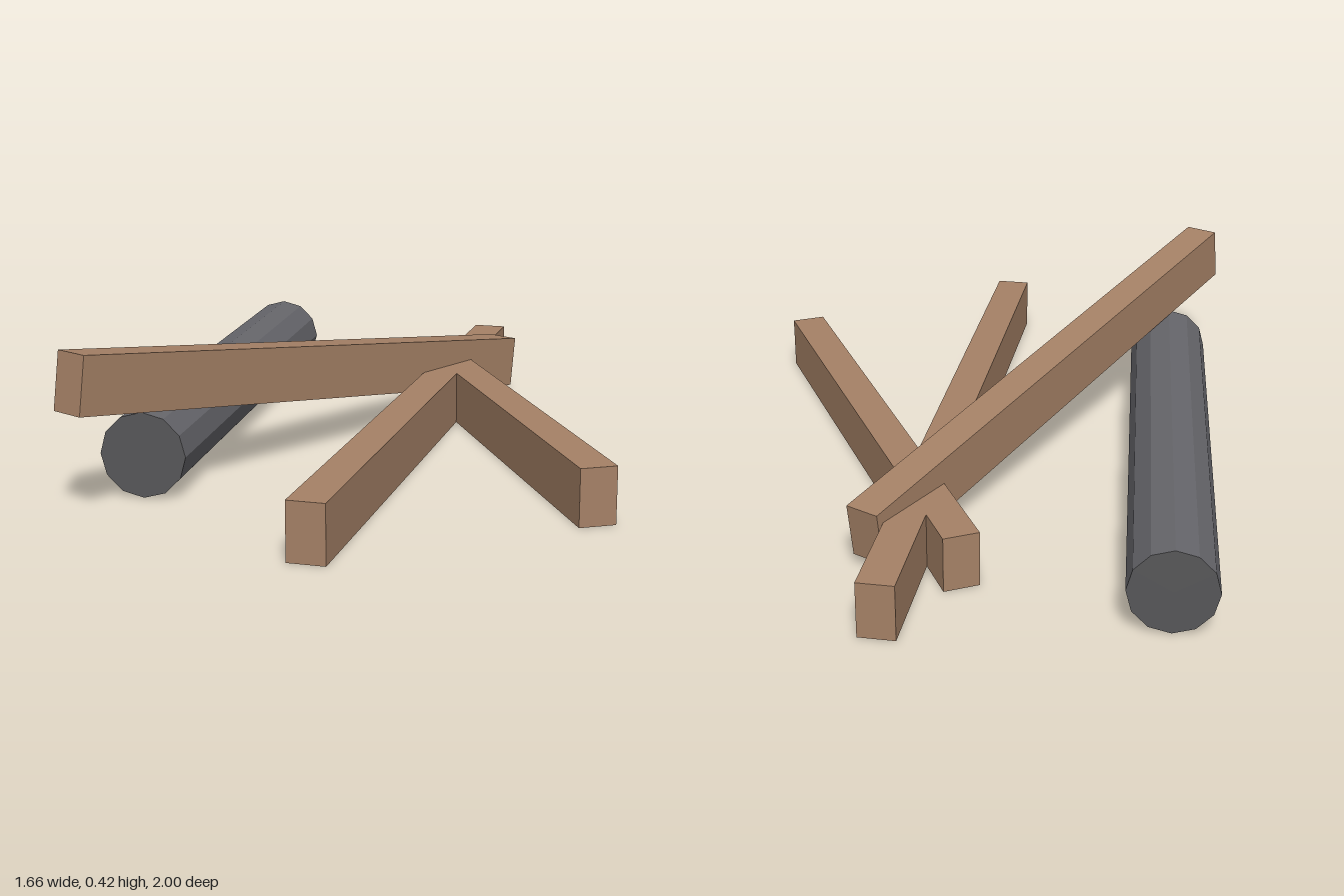
import * as THREE from 'three';

const rad = THREE.MathUtils.degToRad;

function material(name, color) {
  const m = new THREE.MeshStandardMaterial({ color });
  m.name = name;
  return m;
}

export function createModel() {
  const group = new THREE.Group();
  group.name = 'timberPile';

  const wood = material('wood', 0xa58166);
  const pipeSide = material('pipeGrey', 0x66666b);
  const pipeEnd = material('pipeEndGrey', 0x575759);
  pipeSide.flatShading = true;

  // Planks share one cross-section; yaw and pitch lay them across each other
  const plank = (name, length, x, y, z, yaw, pitch = 0) => {
    const mesh = new THREE.Mesh(new THREE.BoxGeometry(0.0965, 0.15, length), wood);
    mesh.name = name;
    mesh.position.set(x, y, z);
    mesh.rotation.set(rad(pitch), rad(yaw), 0, 'YXZ');
    group.add(mesh);
  };
  plank('longPlank', 2.014, 0.102, 0.075, 0, 10);
  plank('shortPlank', 1.51, 0.304, 0.075, -0.13, 40);
  plank('leaningPlank', 1.76, -0.15, 0.2275, 0.127, -15, -8);

  // Twelve-sided pipe lying on the ground, propping up the leaning plank
  const pipe = new THREE.Mesh(
    new THREE.CylinderGeometry(0.113, 0.113, 1.51, 12),
    [pipeSide, pipeEnd, pipeEnd]
  );
  pipe.name = 'pipe';
  pipe.position.set(-0.5275, 0.113, 0);
  pipe.rotation.set(Math.PI / 2, rad(15), 0, 'YXZ');
  group.add(pipe);

  return group;
}
